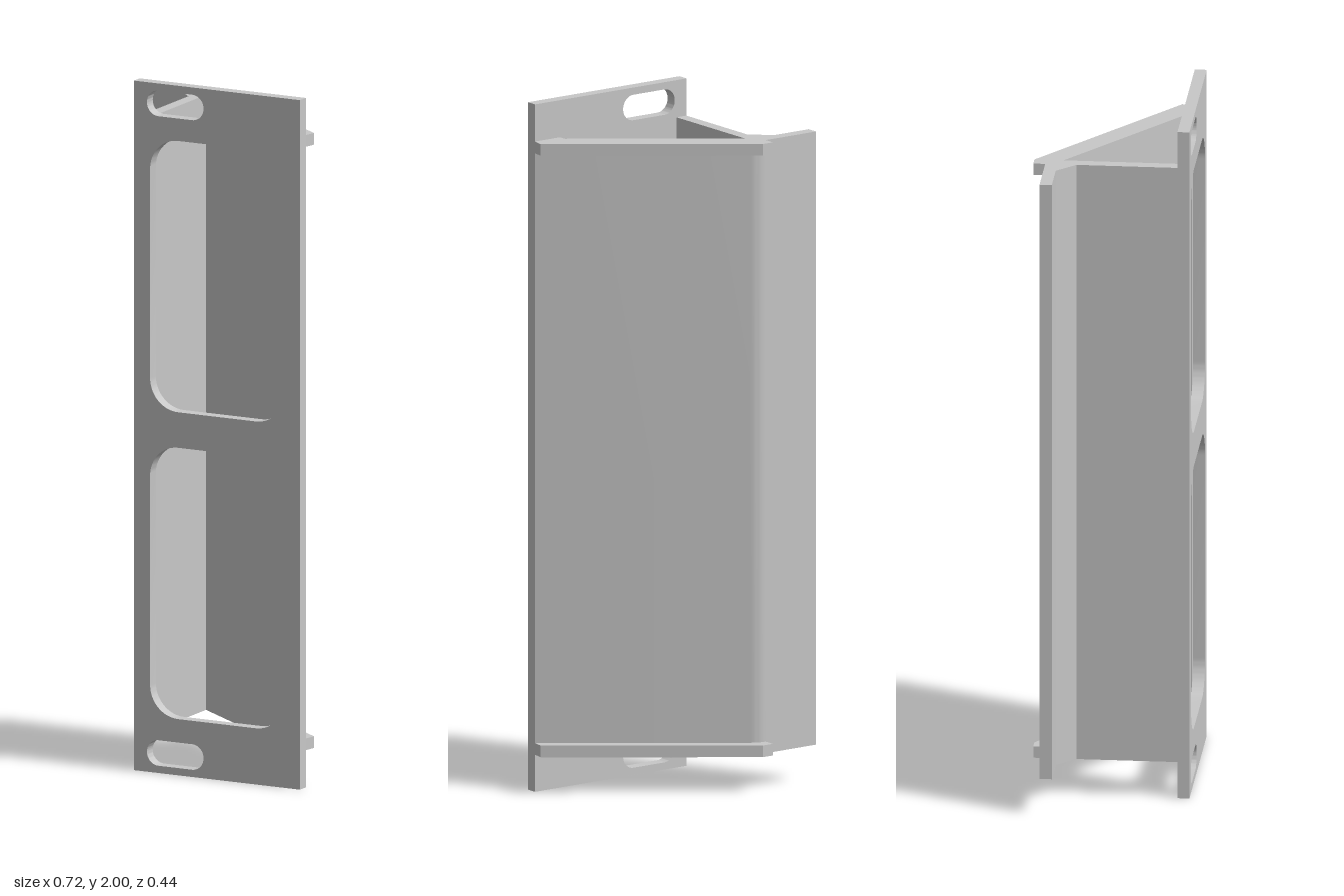
import * as THREE from 'three';
import { toCreasedNormals } from 'three/addons/utils/BufferGeometryUtils.js';

// rounded rectangle path, given its edges and corner radius
function roundedRect(x0, x1, y0, y1, r) {
  const p = new THREE.Path();
  p.absarc(x1 - r, y1 - r, r, 0, Math.PI / 2);
  p.absarc(x0 + r, y1 - r, r, Math.PI / 2, Math.PI);
  p.absarc(x0 + r, y0 + r, r, Math.PI, Math.PI * 1.5);
  p.absarc(x1 - r, y0 + r, r, Math.PI * 1.5, Math.PI * 2);
  p.closePath();
  return p;
}

// bracket section in plan (x, z); only the outer back edge differs
function section(outer) {
  const inner = [[-0.182, 0.187], [-0.147, 0.187], [-0.147, -0.14], [0.264, 0.164], [0.264, 0.187]];
  const flange = [[-0.36, -0.189], [-0.36, -0.154], [-0.237, -0.154], [-0.182, -0.1]];
  return new THREE.Shape([...inner, ...outer, ...flange].map(([x, z]) => new THREE.Vector2(x, z)));
}

// extrude a plan section between two heights
function upright(shape, y0, y1) {
  const g = new THREE.ExtrudeGeometry(shape, { depth: y1 - y0, bevelEnabled: false });
  g.rotateX(Math.PI / 2).translate(0, y1, 0);
  return toCreasedNormals(g, 0.3);
}

export function createModel() {
  const model = new THREE.Group();
  const grey = new THREE.MeshStandardMaterial({ color: 0xc8c8c8 });
  grey.name = 'lightGrey';
  const add = (name, geometry) => {
    const mesh = new THREE.Mesh(geometry, grey);
    mesh.name = name;
    model.add(mesh);
  };

  // front plate with two windows and two mounting slots
  const plate = new THREE.Shape();
  plate.moveTo(-0.183, 0).lineTo(0.352, 0).lineTo(0.352, 2).lineTo(-0.183, 2).closePath();
  for (const [y0, y1] of [[0.163, 0.95], [1.053, 1.84]]) plate.holes.push(roundedRect(-0.131, 0.3, y0, y1, 0.09));
  for (const y of [0.058, 1.942]) plate.holes.push(roundedRect(-0.141, 0.041, y - 0.037, y + 0.037, 0.0365));
  const plateGeometry = new THREE.ExtrudeGeometry(plate, { depth: 0.034, bevelEnabled: false, curveSegments: 10 });
  add('frontPlate', toCreasedNormals(plateGeometry.translate(0, 0, 0.187), 0.5));

  // hollow body: the sloping wall bends softly into the side flange
  const bend = new THREE.QuadraticBezierCurve(
    new THREE.Vector2(-0.139, -0.175), new THREE.Vector2(-0.158, -0.189), new THREE.Vector2(-0.182, -0.189));
  const bodyEdge = [[0.352, 0.187], ...bend.getPoints(6).map((p) => [p.x, p.y])];
  add('body', upright(section(bodyEdge), 0.142, 1.858));

  // raised lips along both ends of the sloping wall
  const lipEdge = [[0.352, 0.187], [0.359, 0.151], [-0.147, -0.223], [-0.182, -0.223], [-0.182, -0.189]];
  add('lowerLip', upright(section(lipEdge), 0.108, 0.142));
  add('upperLip', upright(section(lipEdge), 1.858, 1.892));

  return model;
}
